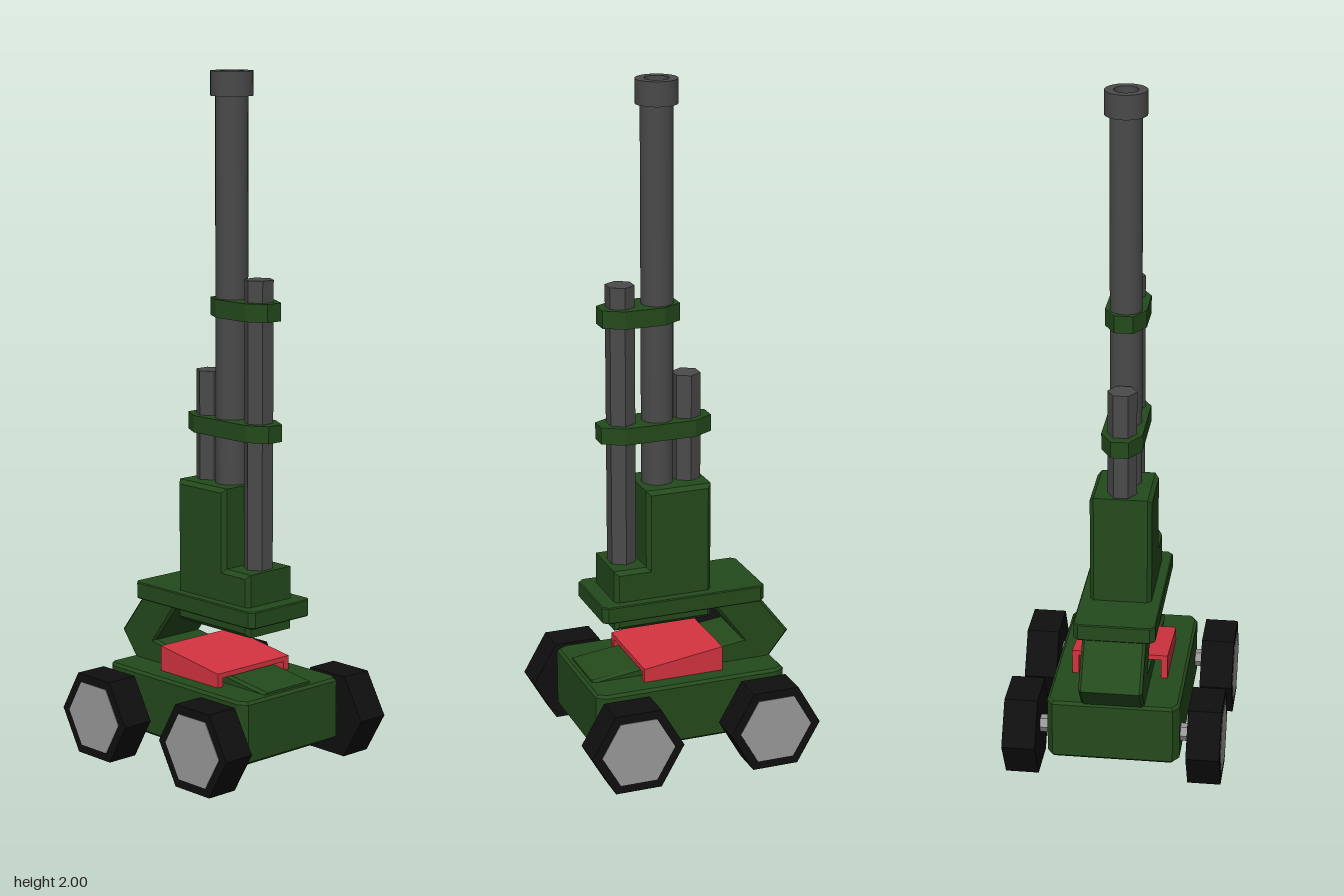
import * as THREE from 'three';
import { toCreasedNormals } from 'three/addons/utils/BufferGeometryUtils.js';

const paint = (color, flatShading = true) =>
  new THREE.MeshStandardMaterial({ color, flatShading });
const GREEN = paint(0x244a1c);
const STEEL = paint(0x4a4a4a);
const BARREL = paint(0x4a4a4a, false);
const RUBBER = paint(0x0f0f0f);
const METAL = paint(0x999999);
const RED = paint(0xd2333f);

export function createModel() {
  const model = new THREE.Group();

  const add = (name, geometry, material, x = 0, y = 0, z = 0, parent = model) => {
    const mesh = new THREE.Mesh(geometry, material);
    mesh.name = name;
    mesh.position.set(x, y, z);
    parent.add(mesh);
    return mesh;
  };

  // Bevelled extrusion of an outline whose outer size stays as drawn
  const extrude = (points, depth, bevel) => {
    const shape = new THREE.Shape(points.map(([u, v]) => new THREE.Vector2(u, v)));
    return new THREE.ExtrudeGeometry(shape, {
      depth: depth - 2 * bevel, bevelEnabled: bevel > 0, bevelSize: bevel,
      bevelThickness: bevel, bevelOffset: -bevel, bevelSegments: 1,
    }).translate(0, 0, bevel);
  };
  // Side outline of [z, y] points, extruded across x
  const sideProfile = (points, width, bevel) =>
    extrude(points, width, bevel).translate(0, 0, -width / 2).rotateY(-Math.PI / 2);
  // Plan outline of [x, z] points, extruded up from y
  const planProfile = (points, y, height, bevel) =>
    extrude(points.map(([x, z]) => [x, -z]).reverse(), height, bevel)
      .rotateX(-Math.PI / 2).translate(0, y, 0);
  // Rectangle in plan with cut corners
  const cutRect = (w, back, front, cx, cz) => [
    [-w, back + cz], [-w, front - cz], [-w + cx, front], [w - cx, front],
    [w, front - cz], [w, back + cz], [w - cx, back], [-w + cx, back],
  ];

  // Chassis
  add('chassis', planProfile(cutRect(0.195, -0.295, 0.293, 0.018, 0.028), 0.066, 0.184, 0.008), GREEN);

  // Sloping deck that folds up into the rear support arm
  add('supportArm', sideProfile([
    [0.275, 0.2], [0.275, 0.256], [-0.2, 0.315], [-0.105, 0.437], [-0.105, 0.46],
    [-0.25, 0.46], [-0.257, 0.437], [-0.348, 0.32], [-0.288, 0.245], [-0.288, 0.2],
  ], 0.186, 0.008), GREEN);

  // Red cover: sloping top with a flange down each side
  const cover = new THREE.Group();
  cover.name = 'redCover';
  model.add(cover);
  add('coverTop', sideProfile([
    [0.13, 0.276], [0.13, 0.291], [-0.115, 0.325], [-0.115, 0.31],
  ], 0.285, 0), RED, 0, 0, 0, cover);
  for (const side of [-1, 1]) {
    add('coverFlange', sideProfile([
      [0.13, 0.248], [0.13, 0.29], [-0.115, 0.324], [-0.115, 0.248],
    ], 0.02, 0), RED, side * 0.1324, 0, 0, cover);
  }

  // Turntable plate and stepped gun housing
  add('turntable', planProfile(cutRect(0.12, -0.26, 0.246, 0.015, 0.015), 0.44, 0.05, 0.003), GREEN);
  add('gunHousing', sideProfile([
    [0.2, 0.4], [0.2, 0.585], [0.1, 0.585], [0.1, 0.82], [-0.1, 0.82], [-0.1, 0.4],
  ], 0.182, 0.012), GREEN);

  // Main barrel with muzzle collar and open bore
  const profile = [
    [0, 0.78], [0.047, 0.78], [0.047, 1.93], [0.061, 1.93],
    [0.061, 2.0], [0.035, 2.0], [0.035, 1.94], [0, 1.94],
  ].map(([r, y]) => new THREE.Vector2(r, y));
  add('mainBarrel', toCreasedNormals(new THREE.LatheGeometry(profile, 24), 0.6), BARREL, 0, 0, 0.036);

  // Hexagonal side barrels in front of and behind the main one
  for (const [name, z, bottom, top] of [
    ['frontRod', 0.148, 0.56, 1.42], ['rearRod', -0.053, 0.78, 1.14],
  ]) {
    const rod = new THREE.CylinderGeometry(0.043, 0.043, top - bottom, 6).rotateY(Math.PI / 2);
    add(name, rod, STEEL, 0, (top + bottom) / 2, z);
  }

  // Clamps around the barrels
  add('lowerClamp', planProfile(cutRect(0.06, -0.121, 0.216, 0.034, 0.06), 0.96, 0.05, 0), GREEN);
  add('upperClamp', planProfile(cutRect(0.06, -0.024, 0.21, 0.033, 0.057), 1.305, 0.052, 0), GREEN);

  // Axles and hexagonal wheels
  const across = (radius, width) =>
    new THREE.CylinderGeometry(radius, radius, width, 6).rotateZ(Math.PI / 2);
  for (const end of [-1, 1]) {
    const label = end > 0 ? 'front' : 'rear';
    add(label + 'Axle', across(0.026, 0.46), METAL, 0, 0.137, end * 0.226);
    for (const side of [-1, 1]) {
      const wheel = new THREE.Group();
      wheel.name = label + (side > 0 ? 'Left' : 'Right') + 'Wheel';
      wheel.position.set(side * 0.27, 0.1212, end * 0.2135);
      model.add(wheel);
      add('tire', across(0.14, 0.098), RUBBER, 0, 0, 0, wheel);
      add('hub', across(0.111, 0.02), METAL, side * 0.0405, 0, 0, wheel);
    }
  }

  return model;
}
